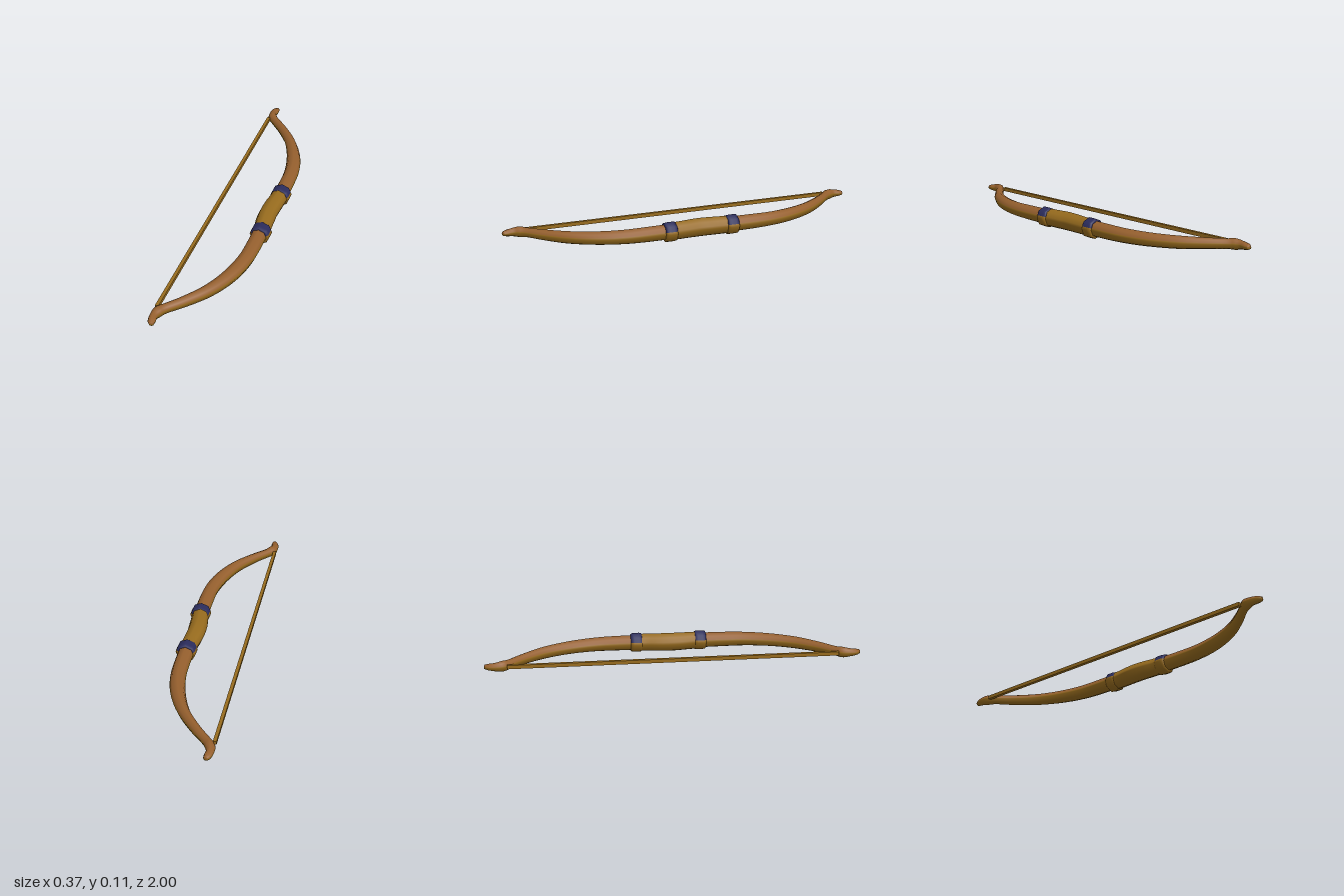
import * as THREE from 'three';

const MID_Y = 0.055;

// Octagonal unit section with two extra points where the top colour ends.
function sectionPoints() {
  const v = [];
  for (let k = 0; k < 8; k++) v.push(new THREE.Vector2(Math.cos(k * Math.PI / 4), Math.sin(k * Math.PI / 4)));
  const split = 0.35;
  return [v[0], v[0].clone().lerp(v[1], split), v[1], v[2], v[3],
    v[4].clone().lerp(v[3], split), v[4], v[5], v[6], v[7]];
}

// Lofts the section along stations [z, x, radiusAcross, radiusUp], ordered by rising z.
// Group 0 holds the upper faces, group 1 everything else.
function loft(stations, steps) {
  const centre = new THREE.CatmullRomCurve3(stations.map(s => new THREE.Vector3(s[1], 0, s[0])), false, 'catmullrom');
  const radii = new THREE.CatmullRomCurve3(stations.map(s => new THREE.Vector3(s[2], s[3], 0)), false, 'catmullrom');
  const section = sectionPoints();
  const n = section.length;
  const pos = [], upper = [], lower = [];
  for (let i = 0; i <= steps; i++) {
    const t = i / steps;
    const c = centre.getPoint(t), r = radii.getPoint(t), d = centre.getTangent(t);
    for (const p of section) {
      const across = p.x * r.x;
      pos.push(c.x + across * d.z, MID_Y + p.y * r.y, c.z - across * d.x);
    }
  }
  for (let i = 0; i < steps; i++) {
    for (let j = 0; j < n; j++) {
      const k = (j + 1) % n;
      const a = i * n + j, b = i * n + k, c = b + n, d = a + n;
      (j >= 1 && j <= 4 ? upper : lower).push(a, b, c, a, c, d);
    }
  }
  // End caps
  const start = (steps + 1) * n, end = start + 1, last = steps * n;
  const c0 = centre.getPoint(0), c1 = centre.getPoint(1);
  pos.push(c0.x, MID_Y, c0.z, c1.x, MID_Y, c1.z);
  for (let j = 0; j < n; j++) {
    const k = (j + 1) % n;
    const list = j >= 1 && j <= 4 ? upper : lower;
    list.push(start, k, j, end, last + j, last + k);
  }
  const geo = new THREE.BufferGeometry();
  geo.setAttribute('position', new THREE.Float32BufferAttribute(pos, 3));
  geo.setIndex([...upper, ...lower]);
  geo.addGroup(0, upper.length, 0);
  geo.addGroup(upper.length, lower.length, 1);
  geo.computeVertexNormals();
  return geo;
}

export function createModel() {
  const model = new THREE.Group();
  model.name = 'bow';
  const material = (name, color) => {
    const m = new THREE.MeshStandardMaterial({ color });
    m.name = name;
    return m;
  };
  const brown = material('brown wood', 0x96602e);
  const gold = material('golden wood', 0x986c1e);
  const navy = material('navy wrap', 0x2b2c5c);

  const add = (name, geo, mat) => {
    const mesh = new THREE.Mesh(geo, mat);
    mesh.name = name;
    model.add(mesh);
  };

  // Limbs: curved arms ending in a nock bulge and a recurved tip
  const limb = [
    [0.17, 0.122, 0.042, 0.043],
    [0.30, 0.122, 0.042, 0.042],
    [0.40, 0.117, 0.041, 0.040],
    [0.50, 0.098, 0.040, 0.038],
    [0.60, 0.064, 0.036, 0.036],
    [0.70, 0.012, 0.030, 0.034],
    [0.80, -0.065, 0.025, 0.030],
    [0.87, -0.130, 0.023, 0.027],
    [0.905, -0.156, 0.026, 0.030],
    [0.94, -0.165, 0.021, 0.024],
    [0.975, -0.160, 0.020, 0.018],
    [0.997, -0.153, 0.012, 0.011],
  ];
  add('frontLimb', loft(limb, 44), [brown, gold]);
  add('backLimb', loft(limb.map(([z, ...rest]) => [-z, ...rest]).reverse(), 44), [brown, gold]);

  // Grip: thicker middle that bulges towards the string
  const grip = [
    [-0.17, 0.122, 0.048, 0.049],
    [-0.12, 0.119, 0.047, 0.050],
    [-0.06, 0.113, 0.050, 0.051],
    [0, 0.110, 0.050, 0.052],
    [0.06, 0.113, 0.050, 0.051],
    [0.12, 0.119, 0.047, 0.050],
    [0.17, 0.122, 0.048, 0.049],
  ];
  add('grip', loft(grip, 18), [gold, gold]);

  // Wrapped collars at both ends of the grip
  const collar = [[-0.033, 0.044], [-0.024, 0.054], [0, 0.055], [0.024, 0.054], [0.033, 0.044]];
  for (const [name, z] of [['frontCollar', 0.168], ['backCollar', -0.182]]) {
    add(name, loft(collar.map(([dz, r]) => [z + dz, 0.124, r, r]), 8), [navy, gold]);
  }

  // String
  const string = new THREE.BoxGeometry(0.018, 0.02, 1.76);
  string.translate(-0.174, MID_Y + 0.002, 0);
  add('string', string, gold);

  return model;
}
